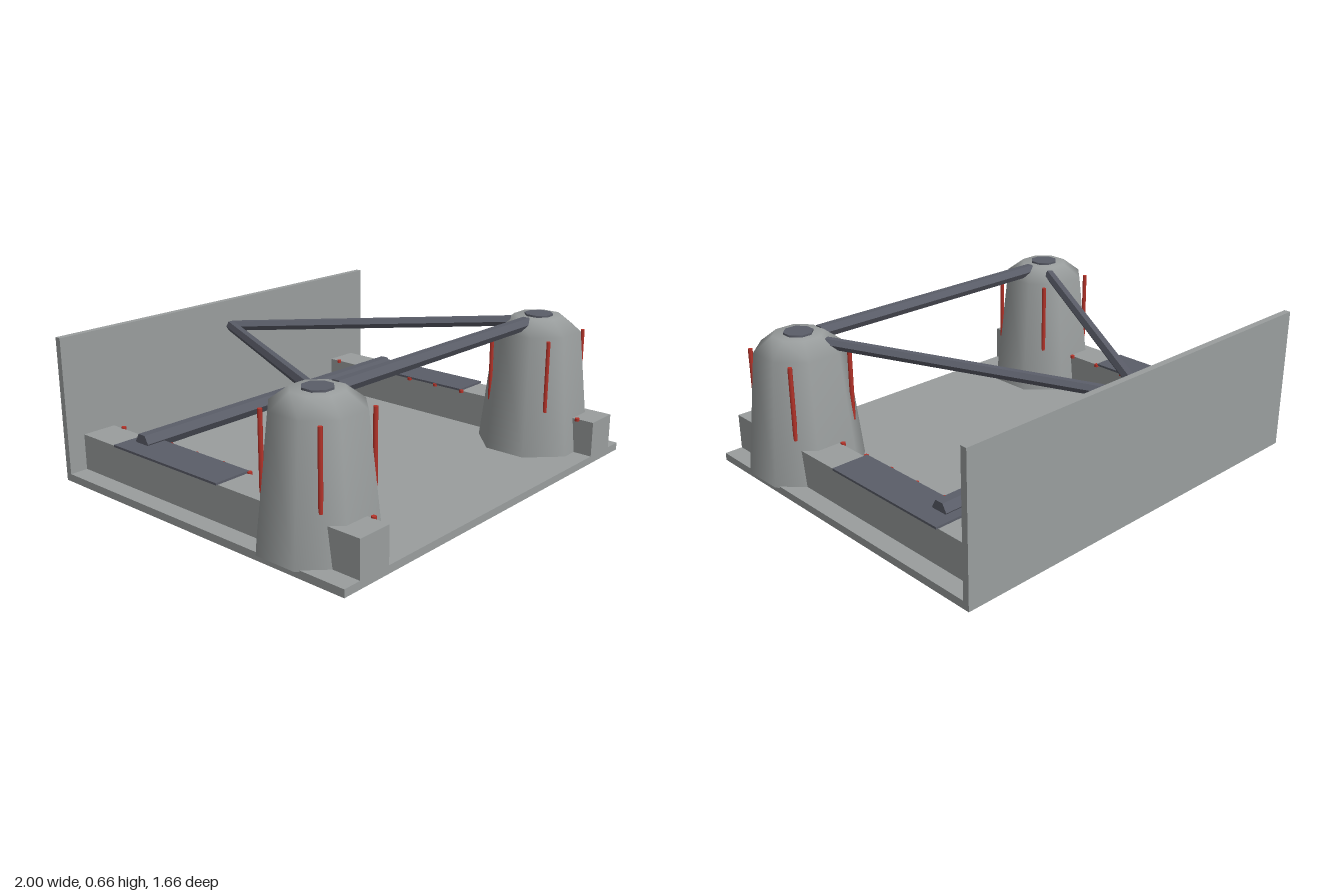
import * as THREE from 'three';

export function createModel() {
  const model = new THREE.Group();
  const concrete = new THREE.MeshStandardMaterial({ color: 0x9a9e9e });
  concrete.name = 'concrete grey';
  const steel = new THREE.MeshStandardMaterial({ color: 0x5b5e69 });
  steel.name = 'dark steel';
  const red = new THREE.MeshStandardMaterial({ color: 0xb8342a });
  red.name = 'signal red';

  const add = (name, geometry, material, x = 0, y = 0, z = 0, parent = model) => {
    const mesh = new THREE.Mesh(geometry, material);
    mesh.name = name;
    mesh.position.set(x, y, z);
    parent.add(mesh);
    return mesh;
  };
  // Box given by its lower and upper corners
  const block = (name, material, a, b) =>
    add(name, new THREE.BoxGeometry(b[0] - a[0], b[1] - a[1], b[2] - a[2]), material,
      (a[0] + b[0]) / 2, (a[1] + b[1]) / 2, (a[2] + b[2]) / 2);
  // Hexagonal beam between two points, with a flat side on top
  const beam = (name, from, to, r) => {
    const a = new THREE.Vector3(...from), b = new THREE.Vector3(...to);
    const geo = new THREE.CylinderGeometry(r, r, a.distanceTo(b), 6, 1, false, Math.PI / 2)
      .rotateX(Math.PI / 2).toNonIndexed();
    geo.computeVertexNormals();
    const mesh = add(name, geo, steel);
    mesh.position.copy(a).add(b).multiplyScalar(0.5);
    mesh.lookAt(b);
  };

  // Floor and back wall
  block('floor', concrete, [-0.985, 0, -0.83], [0.985, 0.035, 0.83]);
  block('backWall', concrete, [-0.985, 0.035, -0.83], [0.985, 0.66, -0.8]);

  // Octagonal tower outline
  const k = 1 / Math.cos(Math.PI / 8);
  const profile = [[0.2425, 0.03], [0.184, 0.59], [0.105, 0.655], [0, 0.655]]
    .map(([r, y]) => new THREE.Vector2(r * k, y));

  for (const [side, s] of [['left', 1], ['right', -1]]) {
    // Low side wall with steel plate and a row of lamps on its inner edge
    const span = (a, b) => [Math.min(s * a, s * b), Math.max(s * a, s * b)];
    const [w0, w1] = span(0.737, 0.9);
    block(side + 'SideWall', concrete, [w0, 0.035, -0.8], [w1, 0.2, 0.83]);
    const [p0, p1] = span(0.73, 0.91);
    block(side + 'Plate', steel, [p0, 0.2, -0.57], [p1, 0.21, 0.085]);
    for (let i = 0; i < 10; i++) {
      add(side + 'Lamp', new THREE.CylinderGeometry(0.011, 0.011, 0.014, 8), red,
        s * 0.731, 0.2, -0.735 + i * 0.165);
    }

    // Tower with cap and four upright light strips
    const tower = new THREE.Group();
    tower.name = side + 'Tower';
    tower.position.set(s * 0.757, 0, 0.498);
    model.add(tower);
    add('towerBody', new THREE.LatheGeometry(profile, 8, Math.PI / 8), concrete, 0, 0, 0, tower);
    add('towerCap', new THREE.CylinderGeometry(0.066, 0.066, 0.012, 8, 1, false, Math.PI / 8),
      steel, 0, 0.658, 0, tower);
    for (const dx of [-1, 1]) {
      for (const dz of [-1, 1]) {
        add('lightStrip', new THREE.CylinderGeometry(0.01, 0.01, 0.335, 6), red,
          dx * 0.152, 0.4125, dz * 0.152, tower);
      }
    }

    // Sloping brace from tower to the middle of the back wall
    beam(side + 'Brace', [s * 0.69, 0.622, 0.39], [0, 0.53, -0.8], 0.026);
  }

  // Cross beams
  beam('frontBeam', [-0.655, 0.633, 0.495], [0.655, 0.633, 0.495], 0.032);
  beam('rearBeam', [-0.823, 0.216, -0.487], [0.823, 0.216, -0.487], 0.041);

  return model;
}
